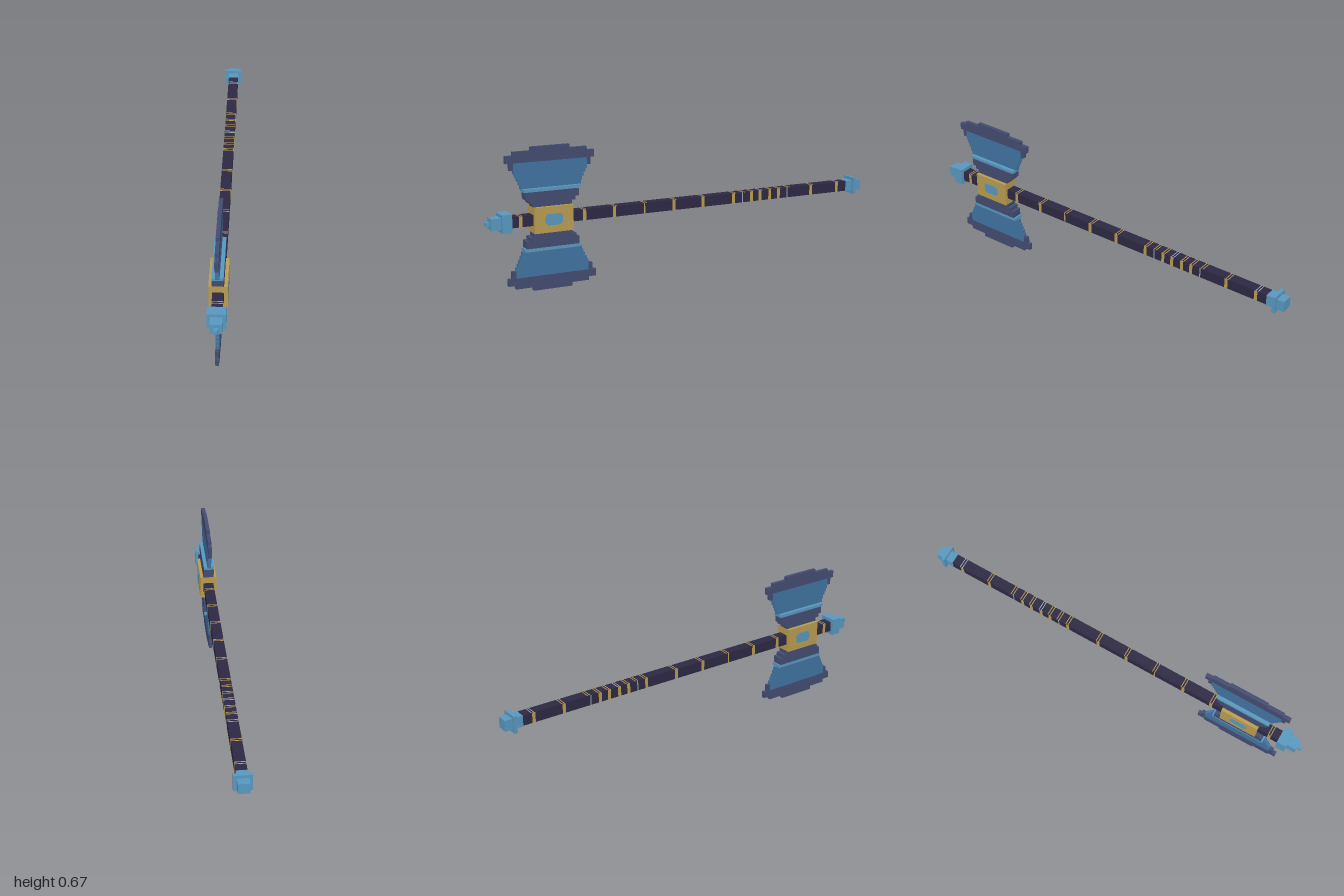
import * as THREE from 'three';

const mat = (name, color) => new THREE.MeshStandardMaterial({ name, color });

export function createModel() {
  const navy = mat('navy', 0x424c70);
  const steel = mat('steel blue', 0x4072a0);
  const sky = mat('light blue', 0x5897be);
  const gold = mat('gold', 0xb89b50);
  const dark = mat('dark wood', 0x2c2843);
  const silver = mat('silver', 0x9aa3bd);

  const MID = 0.335;    // height of the shaft axis
  const HEAD = 0.685;   // z of the axe head centre
  const model = new THREE.Group();
  model.name = 'doubleAxe';

  // box given by half width in x, y range and z range
  const box = (parent, name, material, hx, y0, y1, z0, z1, x = 0) => {
    const mesh = new THREE.Mesh(new THREE.BoxGeometry(hx * 2, y1 - y0, z1 - z0), material);
    mesh.position.set(x, (y0 + y1) / 2, (z0 + z1) / 2);
    mesh.name = name;
    parent.add(mesh);
    return mesh;
  };
  // square block centred on the shaft axis
  const block = (name, material, h, z0, z1) => box(model, name, material, h, MID - h, MID + h, z0, z1);

  // shaft and end caps
  const R = 0.025;
  block('shaft', dark, R, -0.92, 0.89);
  block('rearPommel', sky, 0.0265, -1, -0.91);
  block('rearFlange', sky, 0.042, -0.963, -0.947);
  block('frontCollar', sky, 0.042, 0.885, 0.932);
  block('frontCap', sky, 0.0265, 0.932, 0.978);
  block('frontTip', sky, 0.009, 0.978, 1);

  // inlaid bands on the shaft sides: [z, width, material]
  const sideBands = [
    ...[0.84, 0.53, 0.38, 0.07, -0.085, -0.255, -0.355, -0.405, -0.46, -0.51, -0.70, -0.855].map(z => [z, 0.016, gold]),
    [0.225, 0.006, gold], [-0.305, 0.005, silver], [-0.56, 0.005, silver],
  ];
  const bands = new THREE.Group();
  bands.name = 'shaftBands';
  model.add(bands);
  for (const [z, w, m] of sideBands)
    for (const s of [-1, 1])
      box(bands, 'sideBand', m, 0.001, MID - R, MID + R, z - w / 2, z + w / 2, s * R);

  // paired thin bands on the top and bottom
  const topBands = [
    ...[0.84, 0.53, 0.375, 0.22, 0.065, -0.09, -0.26, -0.31, -0.36, -0.465, -0.515, -0.57, -0.705].map(z => [z, gold]),
    [-0.41, silver], [-0.86, silver],
  ];
  for (const [z, m] of topBands)
    for (const s of [-1, 1])
      for (const d of [-0.006, 0.006]) {
        const y = MID + s * R;
        box(bands, 'topBand', m, R, y - 0.001, y + 0.001, z + d - 0.002, z + d + 0.002);
      }

  // gold hub with a notched plate on each side
  box(model, 'hub', gold, 0.042, 0.275, 0.395, HEAD - 0.094, HEAD + 0.094);
  for (const s of [-1, 1]) {
    box(model, 'hubPlate', sky, 0.001, MID - 0.018, MID + 0.018, HEAD - 0.042, HEAD + 0.042, s * 0.0425);
    box(model, 'hubPlate', sky, 0.001, MID - 0.026, MID + 0.026, HEAD - 0.034, HEAD + 0.034, s * 0.0422);
  }

  // stepped blade rows above the axis: [name, material, half x, y0, y1, half z]
  const THIN = 0.009, THICK = 0.026;
  const rows = [
    ['bladeNeck', navy, THICK, 0.395, 0.413, 0.094],
    ['bladeNeck', navy, THICK, 0.413, 0.43, 0.112],
    ['bladeNeck', navy, THICK, 0.43, 0.465, 0.128],
    ['bladeTrim', sky, THICK, 0.465, 0.48, 0.136],
    ['bladeFace', steel, THIN, 0.48, 0.499, 0.146],
    ['bladeFace', steel, THIN, 0.499, 0.516, 0.153],
    ['bladeFace', steel, THIN, 0.516, 0.533, 0.161],
    ['bladeFace', steel, THIN, 0.533, 0.55, 0.169],
    ['bladeFace', steel, THIN, 0.55, 0.6, 0.177],
    ['bladeEdge', navy, THIN, 0.6, 0.634, 0.214],
    ['bladeEdge', navy, THIN, 0.634, 0.651, 0.178],
    ['bladeEdge', navy, THIN, 0.651, 0.668, 0.094],
  ];
  for (const s of [-1, 1]) {
    const blade = new THREE.Group();
    blade.name = s > 0 ? 'upperBlade' : 'lowerBlade';
    model.add(blade);
    const add = (name, m, hx, y0, y1, z0, z1) => {
      const a = MID + s * (y0 - MID), b = MID + s * (y1 - MID);
      box(blade, name, m, hx, Math.min(a, b), Math.max(a, b), z0, z1);
    };
    for (const [name, m, hx, y0, y1, hz] of rows) add(name, m, hx, y0, y1, HEAD - hz, HEAD + hz);
    // hooked corners of the cutting edge
    add('bladeBarb', navy, THIN, 0.567, 0.6, HEAD + 0.177, HEAD + 0.196);
    add('bladeBarb', navy, THIN, 0.567, 0.6, HEAD - 0.196, HEAD - 0.177);
  }
  return model;
}
